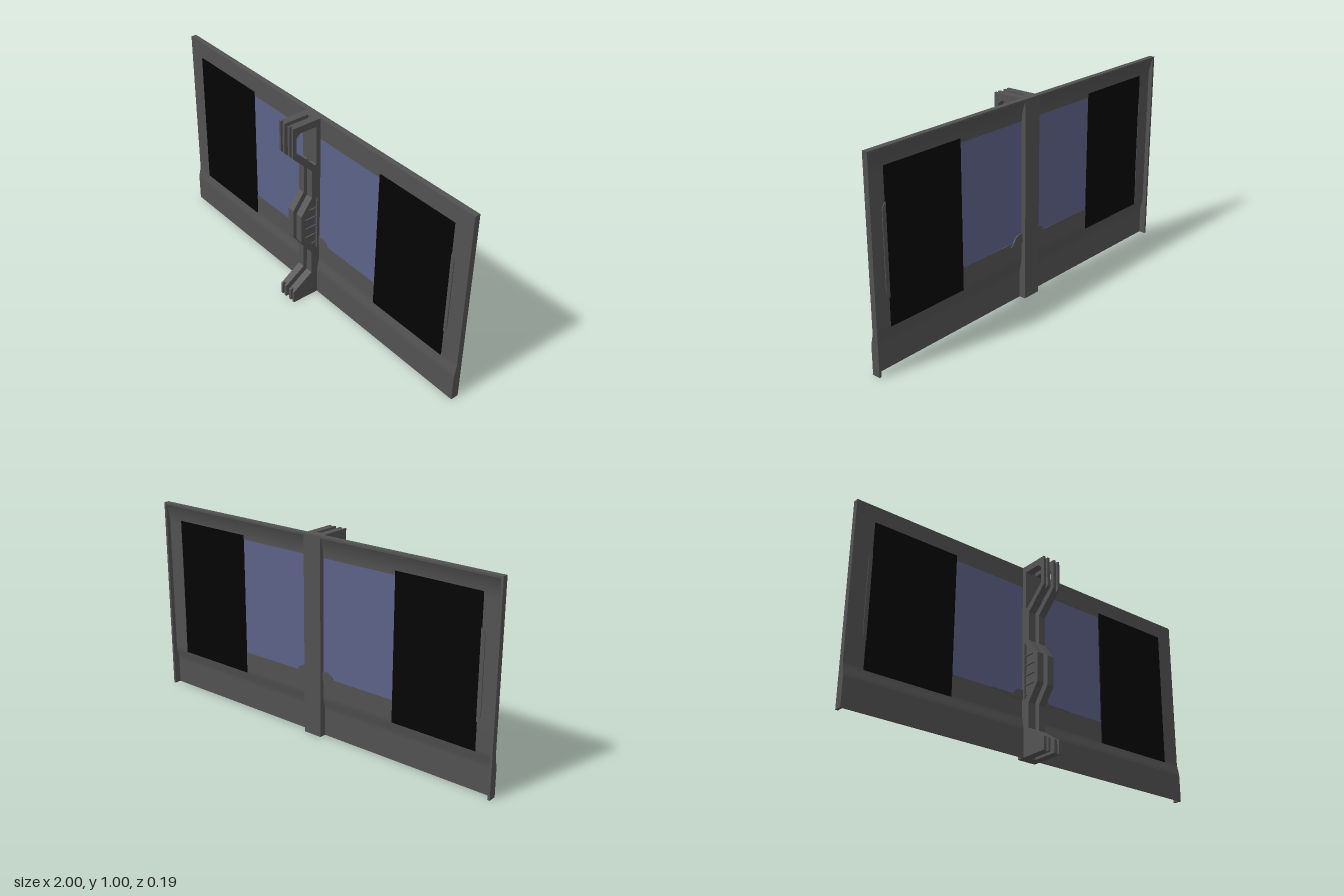
import * as THREE from 'three';

const mat = (name, color) => {
  const m = new THREE.MeshStandardMaterial({ color });
  m.name = name;
  return m;
};

export function createModel() {
  const grey = mat('dark grey metal', 0x525252);
  const black = mat('black panel', 0x040404);
  const blue = mat('blue glass', 0x5c6288);
  const root = new THREE.Group();
  root.name = 'dividerPanel';

  const add = (name, geo, material, parent = root) => {
    const m = new THREE.Mesh(geo, material);
    m.name = name;
    parent.add(m);
    return m;
  };
  const box = (name, x0, x1, y0, y1, z0, z1, material, parent) =>
    add(name, new THREE.BoxGeometry(x1 - x0, y1 - y0, z1 - z0)
      .translate((x0 + x1) / 2, (y0 + y1) / 2, (z0 + z1) / 2), material, parent);
  const points = (list) => list.map(([a, b]) => new THREE.Vector2(a, b));
  // Side profile given as (z, y), extruded between two x positions
  const sideProfile = (outline, holes, x0, x1) => {
    const shape = new THREE.Shape(points(outline));
    holes.forEach((h) => shape.holes.push(new THREE.Path(points(h))));
    return new THREE.ExtrudeGeometry(shape, { depth: x1 - x0, bevelEnabled: false })
      .rotateY(-Math.PI / 2).translate(x1, 0, 0);
  };
  // Front outline given as (x, y), extruded between two z positions
  const frontProfile = (outline, z0, z1) =>
    new THREE.ExtrudeGeometry(new THREE.Shape(points(outline)), { depth: z1 - z0, bevelEnabled: false })
      .translate(0, 0, z0);

  // Thin wall skin: the lower part steps forward in a soft S-curve
  const REAR = -0.093, BACK = -0.071, FRONT = -0.065, END = 0.988;
  const frame = new THREE.Group();
  frame.name = 'wallFrame';
  root.add(frame);
  const rise = [[0.012, 0]];
  for (let i = 0; i <= 8; i++) {
    const t = i / 8;
    rise.push([0.012 * (1 - t * t * (3 - 2 * t)), 0.13 + 0.08 * t]);
  }
  const offsetBy = (z0) => rise.map(([z, y]) => [z0 + z, y]);
  const skin = [...offsetBy(FRONT), [FRONT, 0.305], [BACK, 0.305], ...offsetBy(BACK).reverse()];
  add('lowerWall', sideProfile(skin, [], -END, END), grey, frame);

  // Top rail thickens backwards in a cove
  const rail = [[FRONT, 0.893], [FRONT, 1], [REAR, 1], [REAR, 0.99]];
  for (let i = 1; i <= 8; i++) {
    const t = i / 8;
    rail.push([REAR + (BACK - REAR) * t * (2 - t), 0.99 - 0.097 * t]);
  }
  add('topRail', sideProfile(rail, [], -END, END), grey, frame);

  // Deep rims closing both ends
  const rim = [...offsetBy(FRONT), [FRONT, 1], [REAR, 1], [REAR, 0]];
  for (const s of [-1, 1]) {
    const xs = (a, b) => (s > 0 ? [a, b] : [-b, -a]);
    const side = s > 0 ? 'left' : 'right';
    add(side + 'EndRim', sideProfile(rim, [], ...xs(END, 1)), grey, frame);
    box(side + 'EndWall', ...xs(0.895, END), 0.305, 0.893, BACK, FRONT, grey, frame);

    // Sliding shutters, visible on both faces
    box(side + 'Shutter', ...xs(0.457, 0.902), 0.195, 0.914, -0.0725, -0.059, black);
    box(side + 'Window', ...xs(0.04, 0.46), 0.3, 0.898, -0.0695, -0.0665, blue);

    // Slim grip beside each shutter
    const grip = [[0.9, 0.33], [0.915, 0.35], [0.92, 0.37], [0.92, 0.73], [0.915, 0.745], [0.9, 0.76]]
      .map(([x, y]) => [s * x, y]);
    add(side + 'Grip', frontProfile(grip, -0.075, -0.061), grey);
    box(side + 'SillSeal', ...xs(0.06, 0.24), 0.301, 0.307, -0.074, -0.062, grey);
  }

  // Raised collar where the post meets the sill
  const collar = [[-0.13, 0.29], [0.13, 0.29], [0.115, 0.302], [0.1, 0.325], [0.08, 0.338],
    [-0.08, 0.338], [-0.1, 0.325], [-0.115, 0.302]];
  add('sillCollar', frontProfile(collar, -0.076, -0.06), grey);

  // Central post: web plus a pair of layered fins
  const post = new THREE.Group();
  post.name = 'centralPost';
  root.add(post);
  box('postWeb', -0.012, 0.012, 0, 1, REAR, -0.042, grey, post);

  const finOutline = (tip) => [
    [REAR, 0], [tip, 0], [tip, 0.063 + (0.093 - tip) * 0.67], [-0.018, 0.137], [-0.018, 0.263],
    [0.045, 0.35], [0.045, 0.5], [-0.018, 0.585], [-0.018, 0.735],
    [tip, 0.845 - (0.093 - tip)], [tip, 1], [REAR, 1],
  ];
  const topOpening = [[0.072, 0.862], [0.072, 0.945], [0.052, 0.965], [-0.042, 0.965],
    [-0.042, 0.765], [-0.033, 0.762]];
  const ribRecess = [[-0.05, 0.578], [0.024, 0.49], [0.024, 0.355], [-0.05, 0.28]];

  for (const s of [-1, 1]) {
    const fin = new THREE.Group();
    fin.name = s > 0 ? 'leftFin' : 'rightFin';
    post.add(fin);
    const layer = (name, tip, holes, a, b) =>
      add(name, sideProfile(finOutline(tip), holes, s > 0 ? a : -b, s > 0 ? b : -a), grey, fin);
    layer('innerPlate', 0.093, [topOpening], 0.012, 0.025);
    layer('finCore', 0.08, [topOpening], 0.025, 0.039);
    layer('outerPlate', 0.093, [topOpening, ribRecess], 0.039, 0.05);
    // Thin horizontal ribs inside the recess
    for (const y of [0.31, 0.36, 0.41, 0.462, 0.512]) {
      const reach = y < 0.355 ? -0.025 : y > 0.49 ? 0.004 : 0.024;
      const [a, b] = s > 0 ? [0.038, 0.046] : [-0.046, -0.038];
      box('rib', a, b, y - 0.003, y + 0.003, -0.05, reach, grey, fin);
    }
  }
  return root;
}
